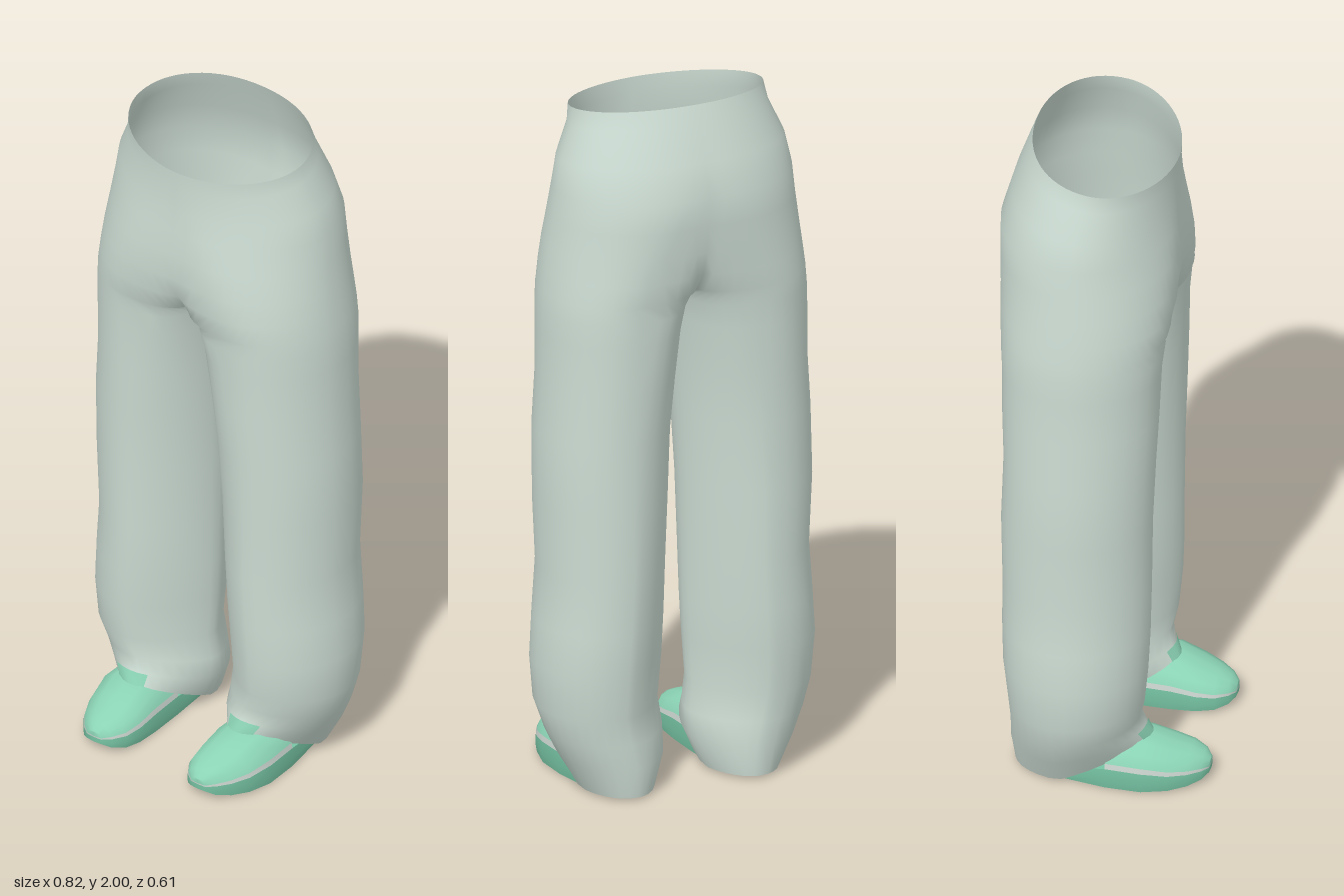
import * as THREE from 'three';
import { mergeGeometries, mergeVertices } from 'three/addons/utils/BufferGeometryUtils.js';

const material = (name, color) => {
  const m = new THREE.MeshStandardMaterial({ color, side: THREE.DoubleSide });
  m.name = name;
  return m;
};

// Skin a list of equally long point rows; mirror = true builds the copy across x = 0
function skin(rows, mirror) {
  const n = rows[0].length, s = mirror ? -1 : 1, pos = [], index = [];
  for (const row of rows) for (const p of row) pos.push(p[0] * s, p[1], p[2]);
  for (let i = 0; i < rows.length - 1; i++) {
    for (let j = 0; j < n - 1; j++) {
      const a = i * n + j, b = a + n, c = a + 1, d = b + 1;
      if (mirror) index.push(a, c, b, b, c, d);
      else index.push(a, b, c, b, d, c);
    }
  }
  const g = new THREE.BufferGeometry();
  g.setAttribute('position', new THREE.Float32BufferAttribute(pos, 3));
  g.setIndex(index);
  return g;
}

// One smooth, welded mesh from several skins
function smoothMesh(name, skins, mat) {
  const g = mergeVertices(mergeGeometries(skins), 1e-4);
  g.computeVertexNormals();
  const mesh = new THREE.Mesh(g, mat);
  mesh.name = name;
  return mesh;
}

// Trouser sections: y, inner x, outer x, front z, back z, roundness of the inner side, lift of the front.
// A negative inner x means the two legs overlap and are cut at the centre seam.
const LEG = [
  [1.97, -0.28, 0.28, 0.178, -0.222, 2, 0],
  [1.92, -0.285, 0.288, 0.176, -0.24, 2, 0],
  [1.83, -0.30, 0.328, 0.178, -0.275, 2.2, 0],
  [1.75, -0.26, 0.343, 0.184, -0.302, 2.4, 0],
  [1.67, -0.20, 0.353, 0.19, -0.297, 2.7, 0],
  [1.59, -0.14, 0.365, 0.192, -0.29, 3, 0],
  [1.52, -0.08, 0.374, 0.188, -0.285, 3, 0],
  [1.46, -0.03, 0.381, 0.18, -0.28, 3, 0],
  [1.41, 0, 0.385, 0.17, -0.275, 2.8, 0],
  [1.34, 0.008, 0.387, 0.163, -0.271, 2.5, 0],
  [1.20, 0.015, 0.387, 0.16, -0.27, 2.1, 0],
  [1.05, 0.022, 0.398, 0.154, -0.264, 1.9, 0],
  [0.85, 0.028, 0.40, 0.147, -0.27, 1.75, 0],
  [0.65, 0.033, 0.39, 0.145, -0.267, 1.65, 0],
  [0.50, 0.036, 0.402, 0.143, -0.266, 1.6, 0],
  [0.38, 0.04, 0.41, 0.138, -0.262, 1.55, 0],
  [0.25, 0.05, 0.40, 0.128, -0.248, 1.55, 0.02],
  [0.17, 0.04, 0.375, 0.115, -0.245, 1.6, 0.04],
  [0.10, 0.04, 0.345, 0.125, -0.248, 1.7, 0.075],
  [0.013, 0.075, 0.298, 0.14, -0.238, 1.9, 0.125],
];

function legRow([y, xi, xo, zf, zb, nIn, lift]) {
  const N = 32, row = [];
  const cx = (xi + xo) / 2, rx = (xo - xi) / 2, cz = (zf + zb) / 2, rz = (zf - zb) / 2;
  const end = Math.PI - (xi < 0 ? Math.acos(Math.min(1, Math.pow(cx / rx, nIn / 2))) : 0);
  const bend = (v, n) => Math.sign(v) * Math.pow(Math.abs(v), 2 / n);
  const tilt = 0.15 * THREE.MathUtils.smoothstep(y, 1.7, 1.95);
  for (let j = 0; j <= N; j++) {
    const t = end * (1 - 2 * j / N), c = Math.cos(t), s = Math.sin(t);
    const n = c < 0 ? nIn : s > 0 ? 1.9 : 2.1;
    const x = xi <= 0 && j % N === 0 ? 0 : cx + rx * bend(c, n);
    const z = cz + rz * bend(s, n);
    row.push([x, y - tilt * z + lift * THREE.MathUtils.clamp((z + 0.1) / 0.24, 0, 1), z]);
  }
  return row;
}

// Shoe sections: z, centre x, half width, bottom y, top y
const SHOE = [
  [0.302, 0.18, 0.025, 0.035, 0.068],
  [0.285, 0.18, 0.05, 0.024, 0.087],
  [0.25, 0.182, 0.076, 0.015, 0.102],
  [0.20, 0.19, 0.093, 0.009, 0.118],
  [0.13, 0.198, 0.102, 0.006, 0.142],
  [0.03, 0.198, 0.098, 0.005, 0.145],
  [-0.08, 0.193, 0.088, 0.008, 0.10],
  [-0.17, 0.19, 0.078, 0.015, 0.08],
  [-0.21, 0.19, 0.05, 0.018, 0.06],
];

// Bands of the shoe section, as (width, height) fractions running from outside to inside
const UPPER = [[0.94, 0.56], [0.78, 0.80], [0.45, 0.95], [0, 1], [-0.45, 0.95], [-0.78, 0.80], [-0.94, 0.56]];
const TRIM = [[0.98, 0.45], [0.94, 0.56]];
const WALL = [[0.95, 0], [1, 0.22], [0.98, 0.45]];
const BASE = [[-0.95, 0], [0.95, 0]];
const inner = (band) => band.map(([w, h]) => [-w, h]).reverse();

function shoeBand(band, sections, mirror) {
  const rows = sections.map(([z, cx, w, y0, y1]) =>
    band.map(([u, v]) => [cx + u * w, y0 + v * (y1 - y0), z]));
  const toe = rows[0].map(([, y]) => [0.18, y, 0.304]);
  return skin([toe, ...rows], mirror);
}

export function createModel() {
  const model = new THREE.Group();
  model.name = 'trousersAndShoes';
  const cloth = material('pale grey green cloth', 0xcbdbd2);
  const mint = material('mint upper', 0x8bd3b5);
  const rubber = material('green sole', 0x76c3a3);
  const pale = material('pale trim', 0xc6d0ca);

  // Both trouser halves, welded along the centre seam
  const rows = LEG.map(legRow);
  model.add(smoothMesh('trousers', [skin(rows, false), skin(rows, true)], cloth));

  // Mint patch on the front of each hem, just proud of the cloth
  const patch = rows.slice(-2).map((row) => row.slice(6, 11).map(([x, y, z]) => [x, y, z + 0.004]));

  // Shoes: the upper stops under the hem, leaving the heel open inside the leg
  for (const mirror of [false, true]) {
    const shoe = new THREE.Group();
    shoe.name = mirror ? 'rightShoe' : 'leftShoe';
    const bands = (list, sections = SHOE) => list.map((b) => shoeBand(b, sections, mirror));
    shoe.add(
      smoothMesh('upper', bands([UPPER], SHOE.slice(0, 6)), mint),
      smoothMesh('tongue', [skin(patch, mirror)], mint),
      smoothMesh('trim', bands([TRIM, inner(TRIM)], SHOE.slice(0, 6)), pale),
      smoothMesh('soleWall', bands([WALL, inner(WALL)]), rubber),
      smoothMesh('soleBase', bands([BASE]), rubber),
    );
    model.add(shoe);
  }
  return model;
}
